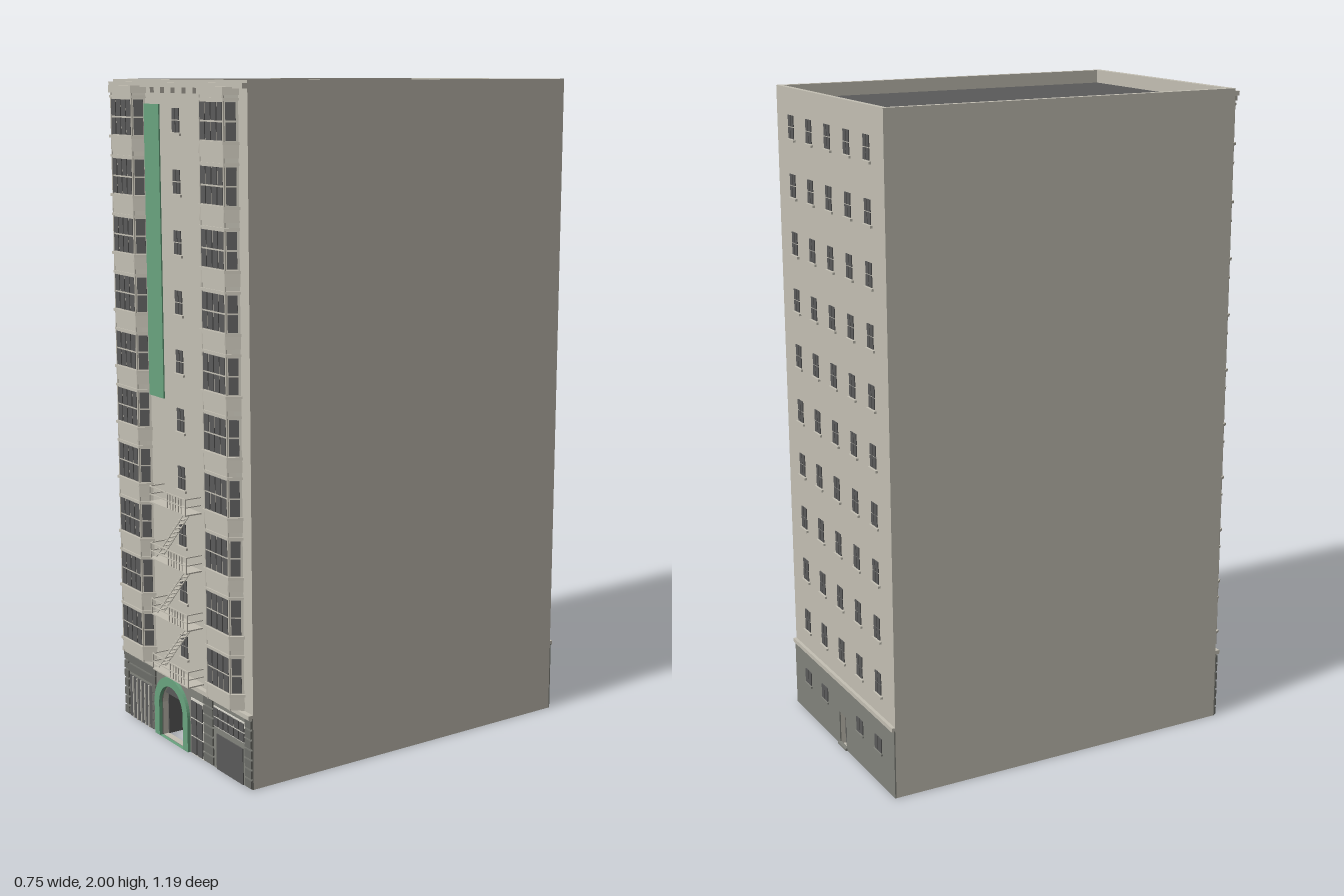
import * as THREE from 'three';

const mat = (name, color, side = THREE.FrontSide) => {
  const m = new THREE.MeshStandardMaterial({ color, side });
  m.name = name;
  return m;
};

export function createModel() {
  const wall = mat('limestone', 0xc4c0b4);
  const dark = mat('dark glass and roofing', 0x5a5a5a);
  const stone = mat('grey base stone', 0x82837c);
  const course = mat('dark stone courses', 0x6c6d68);
  const frame = mat('pale frames', 0xdad8ce);
  const green = mat('green', 0x69a37f, THREE.DoubleSide);

  const root = new THREE.Group();
  root.name = 'apartmentTower';

  // Box given by its limits on each axis
  const box = (name, m, x0, x1, y0, y1, z0, z1, parent = root) => {
    const mesh = new THREE.Mesh(new THREE.BoxGeometry(x1 - x0, y1 - y0, z1 - z0), m);
    mesh.position.set((x0 + x1) / 2, (y0 + y1) / 2, (z0 + z1) / 2);
    mesh.name = name;
    parent.add(mesh);
    return mesh;
  };
  const extrude = (name, m, shape, depth, z, parent = root) => {
    const g = new THREE.ExtrudeGeometry(shape, { depth, bevelEnabled: false, curveSegments: 16 });
    const mesh = new THREE.Mesh(g, m);
    mesh.position.z = z;
    mesh.name = name;
    parent.add(mesh);
    return mesh;
  };
  const group = (name, x = 0, y = 0, z = 0, ry = 0, parent = root) => {
    const g = new THREE.Group();
    g.name = name;
    g.position.set(x, y, z);
    g.rotation.y = ry;
    parent.add(g);
    return g;
  };
  // Grid of panes centred on the local origin, facing +z
  const panes = (parent, w, h, cols, rows, gap) => {
    const pw = (w - gap * (cols - 1)) / cols, ph = (h - gap * (rows - 1)) / rows;
    for (let i = 0; i < cols; i++) for (let j = 0; j < rows; j++) {
      const x = -w / 2 + i * (pw + gap), y = -h / 2 + j * (ph + gap);
      box('windowPane', dark, x, x + pw, y, y + ph, -0.001, 0.002, parent);
    }
  };
  const rect = (x0, x1, y0, y1) => new THREE.Shape([[x0, y0], [x1, y0], [x1, y1], [x0, y1]].map(p => new THREE.Vector2(...p)));
  const AX = -0.073, SPRING = 0.105;
  const arch = r => {
    const s = new THREE.Shape();
    s.moveTo(AX - r, 0);
    s.lineTo(AX + r, 0);
    s.lineTo(AX + r, SPRING);
    s.absarc(AX, SPRING, r, 0, Math.PI, false);
    s.lineTo(AX - r, 0);
    return s;
  };

  // Hollow shell, open below, with a sunken roof
  for (const s of [-1, 1]) box('sideWall', wall, s * 0.366 - 0.009, s * 0.366 + 0.009, 0, 2, -0.59, 0.54);
  const frontShape = rect(-0.357, 0.357, 0, 2);
  frontShape.holes.push(arch(0.0715));
  extrude('frontWall', wall, frontShape, 0.02, 0.52);
  const backShape = rect(-0.357, 0.357, 0, 2);
  backShape.holes.push(rect(-0.025, 0.025, 0, 0.11));
  extrude('backWall', wall, backShape, 0.016, -0.59);
  box('roof', dark, -0.358, 0.358, 1.95, 1.96, -0.575, 0.521);

  // Ground floor facing and ledges
  const facing = rect(-0.375, 0.375, 0, 0.215);
  facing.holes.push(arch(0.0715));
  extrude('frontBase', stone, facing, 0.004, 0.54);
  const backFacing = rect(-0.375, 0.375, 0, 0.215);
  backFacing.holes.push(rect(-0.025, 0.025, 0, 0.11));
  extrude('backBase', stone, backFacing, 0.004, -0.594);
  box('frontLedge', wall, -0.375, 0.375, 0.212, 0.225, 0.54, 0.555);
  box('backLedge', wall, -0.375, 0.375, 0.212, 0.225, -0.6, -0.59);
  for (const [x0, x1] of [[-0.375, -0.35], [-0.198, -0.176], [0.112, 0.165], [0.342, 0.375]])
    for (let i = 0; i < 7; i++) box('stoneCourse', course, x0, x1, 0.004 + i * 0.03, 0.028 + i * 0.03, 0.543, 0.549);
  for (let i = 0; i < 2; i++) box('lintelCourse', course, -0.35, -0.176, 0.15 + i * 0.03, 0.174 + i * 0.03, 0.543, 0.549);

  // Arched entrance with open doors
  const ring = arch(0.1);
  ring.holes.push(arch(0.0715));
  extrude('entranceArch', green, ring, 0.012, 0.542);
  const fan = new THREE.Shape();
  fan.absarc(AX, SPRING, 0.0715, 0.48, Math.PI - 0.48, false);
  extrude('entranceFanlight', dark, fan, 0.006, 0.528);
  for (const x of [AX - 0.07, AX + 0.07]) box('entranceDoor', dark, x - 0.003, x + 0.003, 0, 0.138, 0.445, 0.522);

  // Barred gate, shop door, shop window and garage door
  box('gate', dark, -0.345, -0.198, 0, 0.138, 0.515, 0.546);
  for (let i = 1; i < 6; i++) box('gateBar', frame, -0.347 + i * 0.025, -0.344 + i * 0.025, 0, 0.138, 0.546, 0.55);
  box('shopDoorFrame', frame, 0.038, 0.112, 0, 0.178, 0.543, 0.547);
  const shopDoor = group('shopDoorPanes', 0.075, 0.088, 0.548);
  panes(shopDoor, 0.064, 0.166, 2, 3, 0.005);
  box('shopWindowFrame', frame, 0.168, 0.342, 0.13, 0.193, 0.543, 0.547);
  const shopWindow = group('shopWindowPanes', 0.255, 0.1615, 0.548);
  panes(shopWindow, 0.166, 0.055, 6, 2, 0.005);
  box('garageDoor', dark, 0.183, 0.328, 0, 0.11, 0.54, 0.547);

  const floorY = i => 0.325 + i * 0.1735;
  // Small sash window with sill, facing +z in its group
  const sash = (x, y, z, ry) => {
    const g = group('sashWindow', x, y, z, ry);
    panes(g, 0.038, 0.068, 2, 2, 0.003);
    box('windowSill', wall, -0.027, 0.027, -0.043, -0.036, -0.002, 0.006, g);
  };
  for (let i = 0; i < 10; i++) {
    sash(-0.004, floorY(i), 0.541, 0);
    for (let c = -2; c <= 2; c++) sash(c * 0.133, floorY(i), -0.591, Math.PI);
  }
  for (const c of [-2, -1, 1, 2]) {
    const g = group('backBaseWindow', c * 0.133, 0.13, -0.595, Math.PI);
    panes(g, 0.045, 0.045, 2, 1, 0.003);
    box('windowSill', stone, -0.027, 0.027, -0.03, -0.024, -0.002, 0.005, g);
  }
  box('backDoor', dark, 0.022, 0.026, 0, 0.11, -0.575, -0.53);
  box('backDoorStep', stone, -0.03, 0.03, 0, 0.008, -0.6, -0.59);

  // Bay windows: tapered stacks of bands, panes on three facets
  const HO = 0.086, HI = 0.062, D = 0.033;
  const bayBand = (name, y0, y1, grow, parent) => {
    const s = new THREE.Shape([[-HO - grow, 0], [HO + grow, 0], [HI + grow, -D - grow], [-HI - grow, -D - grow]]
      .map(p => new THREE.Vector2(...p)).reverse());
    const mesh = extrude(name, wall, s, y1 - y0, 0.54, parent);
    mesh.rotation.x = -Math.PI / 2;
    mesh.position.y = y0;
  };
  const tilt = Math.atan2(D, HO - HI);
  for (const x of [-0.266, 0.243]) {
    const bay = group('bayWindow', x);
    bayBand('bayCore', 0.225, 1.97, 0, bay);
    bayBand('bayCap', 1.96, 1.982, 0.006, bay);
    for (let i = 0; i < 10; i++) {
      const y = floorY(i) + 0.004;
      bayBand('baySill', y - 0.062, y - 0.054, 0.006, bay);
      bayBand('baySpandrel', y - 0.098, y - 0.062, 0.002, bay);
      bayBand('bayLintel', y + 0.055, y + 0.062, 0.004, bay);
      panes(group('bayFrontPanes', 0, y, 0.54 + D + 0.0005, 0, bay), 0.116, 0.102, 4, 2, 0.005);
      for (const s of [-1, 1])
        panes(group('baySidePanes', s * (HO + HI) / 2, y, 0.5405 + D / 2, s * tilt, bay), 0.028, 0.102, 1, 2, 0.005);
    }
    // Slim corner shafts
    for (const s of [-1, 1]) {
      const shaft = new THREE.Mesh(new THREE.CylinderGeometry(0.003, 0.003, 1.74, 8), wall);
      shaft.name = 'bayCornerShaft';
      shaft.position.set(s * HI, 1.095, 0.54 + D);
      bay.add(shaft);
    }
  }

  // Cornice with brackets
  box('cornice', wall, -0.375, 0.375, 1.978, 1.992, 0.539, 0.556);
  for (let i = -3; i <= 3; i++) box('corniceBracket', wall, i * 0.06 - 0.018, i * 0.06 - 0.008, 1.962, 1.978, 0.539, 0.553);

  // Hanging banner
  box('banner', green, -0.178, -0.092, 1.07, 1.93, 0.543, 0.547);

  // Fire escape: four landings, railings and stair flights
  const escape = group('fireEscape');
  const X0 = -0.108, X1 = 0.104, Z1 = 0.594;
  for (let i = 0; i < 4; i++) {
    const y = 0.236 + i * 0.1745;
    box('landing', wall, X0, X1, y - 0.002, y + 0.002, 0.54, Z1, escape);
    for (const h of [0.024, 0.048]) {
      box('frontRail', wall, X0, X1, y + h - 0.0015, y + h + 0.0015, Z1 - 0.003, Z1, escape);
      for (const x of [X0, X1 - 0.003])
        box('endRail', wall, x, x + 0.003, y + h - 0.0015, y + h + 0.0015, 0.54, Z1, escape);
    }
    for (const x of [X0, -0.004, 0.012, 0.028, 0.044, 0.06, 0.076, X1 - 0.003])
      box('railPost', wall, x, x + 0.003, y, y + 0.048, Z1 - 0.003, Z1, escape);
    if (i === 3) continue;
    for (let t = 0; t < 10; t++) {
      const x = -0.095 + t * 0.0165, sy = y + 0.016 + t * 0.0165;
      box('stairTread', wall, x, x + 0.015, sy - 0.001, sy + 0.001, 0.556, 0.58, escape);
    }
    for (const z of [0.556, 0.58]) {
      const bar = box('stairStringer', wall, -0.118, 0.118, -0.0015, 0.0015, -0.001, 0.001, escape);
      bar.position.set(-0.013, y + 0.0873, z);
      bar.rotation.z = Math.PI / 4;
    }
  }
  return root;
}
